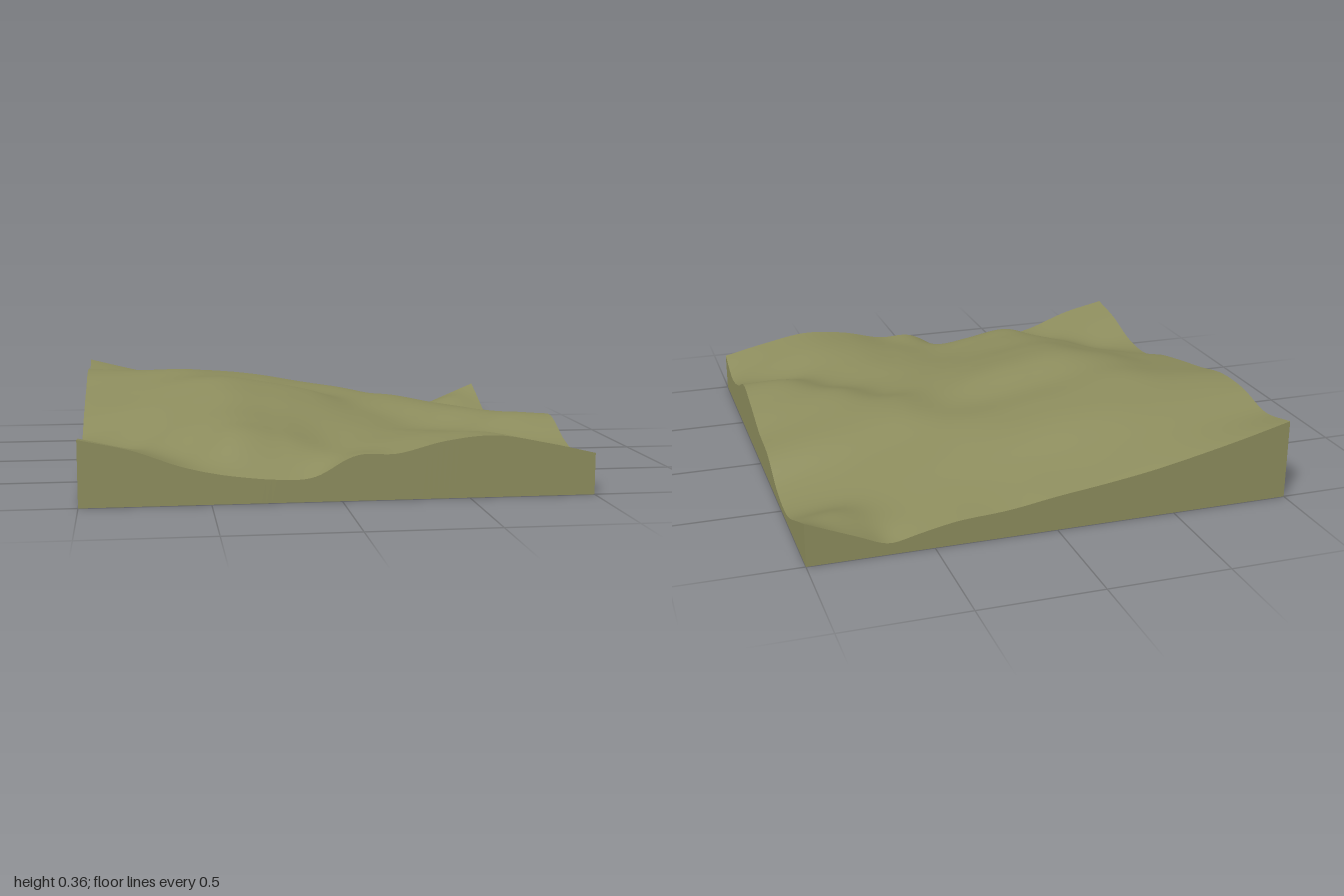
import * as THREE from 'three';

// Ground heights in hundredths, one row per 0.2 of z (back to front), one column per 0.2 of x
const ROWS = [
  [33.5, 28.5, 24, 20, 17, 14.5, 11.5, 10, 7, 9, 17.5],
  [30, 28.5, 27, 25, 22.5, 19.5, 16.5, 13.5, 10, 8.5, 9],
  [33.5, 32.5, 32, 31.5, 29.5, 26, 22, 17.5, 13, 7.5, 3.5],
  [33.5, 34, 34.5, 33.5, 31, 27.5, 25, 20.5, 15.5, 10, 5],
  [29.5, 31.5, 34, 33.5, 30, 26.5, 24, 24, 20, 16.5, 12.5],
  [26, 28.5, 33.5, 36, 33.5, 29.5, 23.5, 23.5, 22, 18.5, 14.2],
  [22, 25.5, 29.5, 33.5, 31, 27, 22, 19, 22.5, 21.5, 19],
  [16.5, 20, 25.5, 29, 26.5, 23, 20, 17.5, 18, 22.5, 22.2],
  [17.5, 15.5, 21.5, 26, 23.5, 19, 19, 20, 18.5, 15.5, 15],
  [23, 18.5, 15.5, 22.5, 20, 16.5, 19, 22, 22.5, 18, 11.5],
  [26, 21.5, 14.5, 10.5, 9.5, 15.5, 17.5, 22.5, 24.3, 21, 16.5],
];

// Small local humps and hollows: x, z, height, radius
const BUMPS = [
  [-0.09, 1, -0.025, 0.07],
  [0.08, 1, 0.018, 0.07],
  [0.68, -1, -0.025, 0.06],
  [0.85, -0.85, 0.035, 0.09],
  [-0.55, -0.3, 0.012, 0.1],
];

// Smooth cubic through evenly spaced values, t from 0 to 10
function cubic(at, t) {
  const i = Math.min(9, Math.max(0, Math.floor(t)));
  const f = t - i;
  const b = at(i), c = at(i + 1);
  const a = i > 0 ? at(i - 1) : 2 * b - c;
  const d = i < 9 ? at(i + 2) : 2 * c - b;
  return b + 0.5 * f * (c - a + f * (2 * a - 5 * b + 4 * c - d + f * (3 * (b - c) + d - a)));
}

function heightAt(x, z) {
  let y = cubic((r) => cubic((c) => ROWS[r][c], (x + 1) * 5), (z + 1) * 5) / 100;
  for (const [bx, bz, h, r] of BUMPS) {
    y += h * Math.exp(-((x - bx) ** 2 + (z - bz) ** 2) / (2 * r * r));
  }
  return Math.max(0.02, y);
}

export function createModel() {
  const N = 96;
  const group = new THREE.Group();
  group.name = 'terrainBlock';
  const material = new THREE.MeshStandardMaterial({ color: 0x8b8b5c });
  const add = (name, geometry) => {
    const mesh = new THREE.Mesh(geometry, material);
    mesh.name = name;
    group.add(mesh);
  };

  // Rolling ground with smooth normals
  const ground = new THREE.PlaneGeometry(2, 2, N, N).rotateX(-Math.PI / 2);
  const gp = ground.attributes.position;
  for (let i = 0; i < gp.count; i++) gp.setY(i, heightAt(gp.getX(i), gp.getZ(i)));
  ground.computeVertexNormals();
  add('ground', ground);

  // Flat cut sides whose top edges follow the ground
  ['frontSide', 'leftSide', 'backSide', 'rightSide'].forEach((name, k) => {
    const side = new THREE.PlaneGeometry(2, 1, N, 1).translate(0, 0, 1).rotateY((k * Math.PI) / 2);
    const p = side.attributes.position;
    for (let i = 0; i < p.count; i++) {
      p.setY(i, p.getY(i) > 0 ? heightAt(p.getX(i), p.getZ(i)) : 0);
    }
    add(name, side);
  });

  // Flat underside
  add('underside', new THREE.PlaneGeometry(2, 2).rotateX(Math.PI / 2));
  return group;
}
